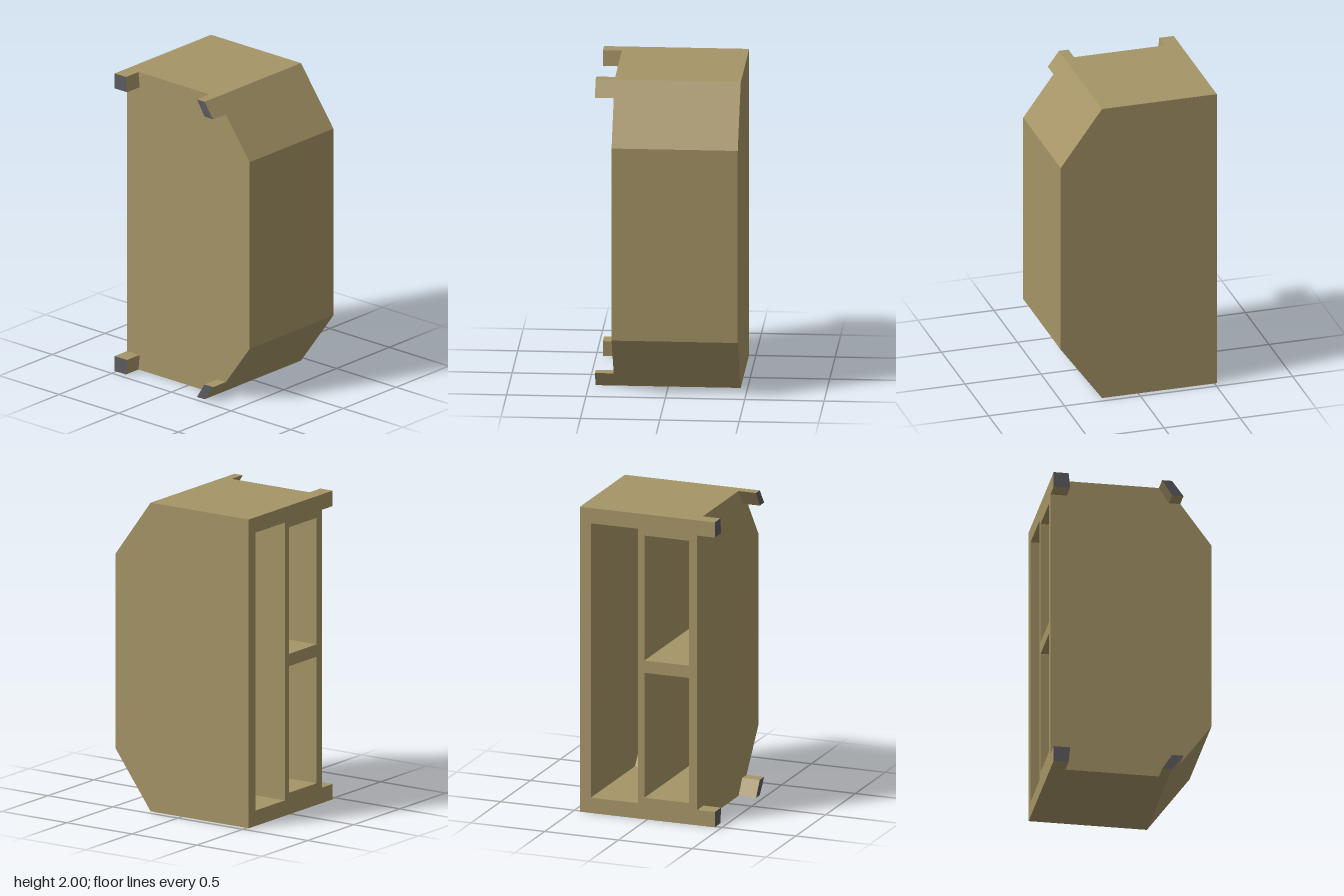
import * as THREE from 'three';

const wood = new THREE.MeshStandardMaterial({ color: 0xa59466 });
const grey = new THREE.MeshStandardMaterial({ color: 0x5c5c60 });

const MOUTH = -0.515, BACK = -0.457, FRONT = 0.338, FOOT_END = 0.457;

// Prism along z from an anticlockwise profile, left open between its last and first points.
// With inward set, the faces look into the prism, as for a compartment.
function openPrism(points, z0, z1, inward = false) {
  const pos = [];
  const tri = (a, b, c) => pos.push(...a, ...(inward ? [...c, ...b] : [...b, ...c]));
  const at = (p, z) => [p[0], p[1], z];
  for (let i = 0; i < points.length - 1; i++) {
    const a = points[i], b = points[i + 1];
    tri(at(a, z0), at(b, z0), at(b, z1));
    tri(at(a, z0), at(b, z1), at(a, z1));
  }
  const contour = points.map(p => new THREE.Vector2(p[0], p[1]));
  for (const [i, j, k] of THREE.ShapeUtils.triangulateShape(contour, [])) {
    tri(at(points[i], z1), at(points[j], z1), at(points[k], z1));
    tri(at(points[i], z0), at(points[k], z0), at(points[j], z0));
  }
  const geometry = new THREE.BufferGeometry();
  geometry.setAttribute('position', new THREE.Float32BufferAttribute(pos, 3));
  geometry.computeVertexNormals();
  return geometry;
}

// Compartment profile that follows the sloped corners inside the walls
function cavityProfile(y0, y1) {
  const depth = 0.44, low = 0.39, high = 1.61;
  const reach = y => Math.min(depth, (0.597 - 0.27 * Math.max(y, 2 - y)) / 0.37);
  const points = [[MOUTH, y0], [reach(y0), y0]];
  if (y0 < low) points.push([depth, low]);
  if (y1 > high) points.push([depth, high]);
  points.push([reach(y1), y1], [MOUTH, y1]);
  return points;
}

const shapeOf = pts => new THREE.Shape(pts.map(p => new THREE.Vector2(p[0], p[1])));

export function createModel() {
  const model = new THREE.Group();
  const add = (name, geometry, material = wood) => {
    const mesh = new THREE.Mesh(geometry, material);
    mesh.name = name;
    model.add(mesh);
  };

  // Outer case with two sloped corners
  const outline = [[MOUTH, 0], [0.24, 0], [0.512, 0.372], [0.512, 1.628], [0.24, 2], [MOUTH, 2]];
  add('case', openPrism(outline, BACK, FRONT));

  // One tall compartment and two stacked ones
  const compartments = [
    { name: 'tallCompartment', z: [-0.383, -0.063], y: [0.1, 1.9] },
    { name: 'lowerCompartment', z: [-0.02, 0.283], y: [0.14, 0.96] },
    { name: 'upperCompartment', z: [-0.02, 0.283], y: [1.04, 1.86] },
  ];
  const rect = ([a, b], [c, d]) => [[a, c], [b, c], [b, d], [a, d]];
  const frame = shapeOf(rect([BACK, FRONT], [0, 2]));
  for (const { name, z, y } of compartments) {
    add(name, openPrism(cavityProfile(...y), ...z, true));
    frame.holes.push(shapeOf(rect(z, y)));
  }

  // Frame around the openings
  add('openingFrame', new THREE.ShapeGeometry(frame).rotateY(-Math.PI / 2).translate(MOUTH, 0, 0));

  // Four corner feet with grey end faces, mirrored top to bottom
  const feet = {
    Square: [[MOUTH, 0], [-0.42, 0], [-0.41, 0.1], [MOUTH, 0.1]],
    Sloped: [[0.177, 0], [0.24, 0], [0.313, 0.1], [0.24, 0.1]],
  };
  for (const [kind, profile] of Object.entries(feet)) {
    for (const end of ['lower', 'upper']) {
      const pts = end === 'lower' ? profile : profile.map(([x, y]) => [x, 2 - y]).reverse();
      const geometry = new THREE.ExtrudeGeometry(shapeOf(pts), { depth: FOOT_END - FRONT, bevelEnabled: false });
      add(`${end}${kind}Foot`, geometry.translate(0, 0, FRONT), [grey, wood]);
    }
  }
  return model;
}
